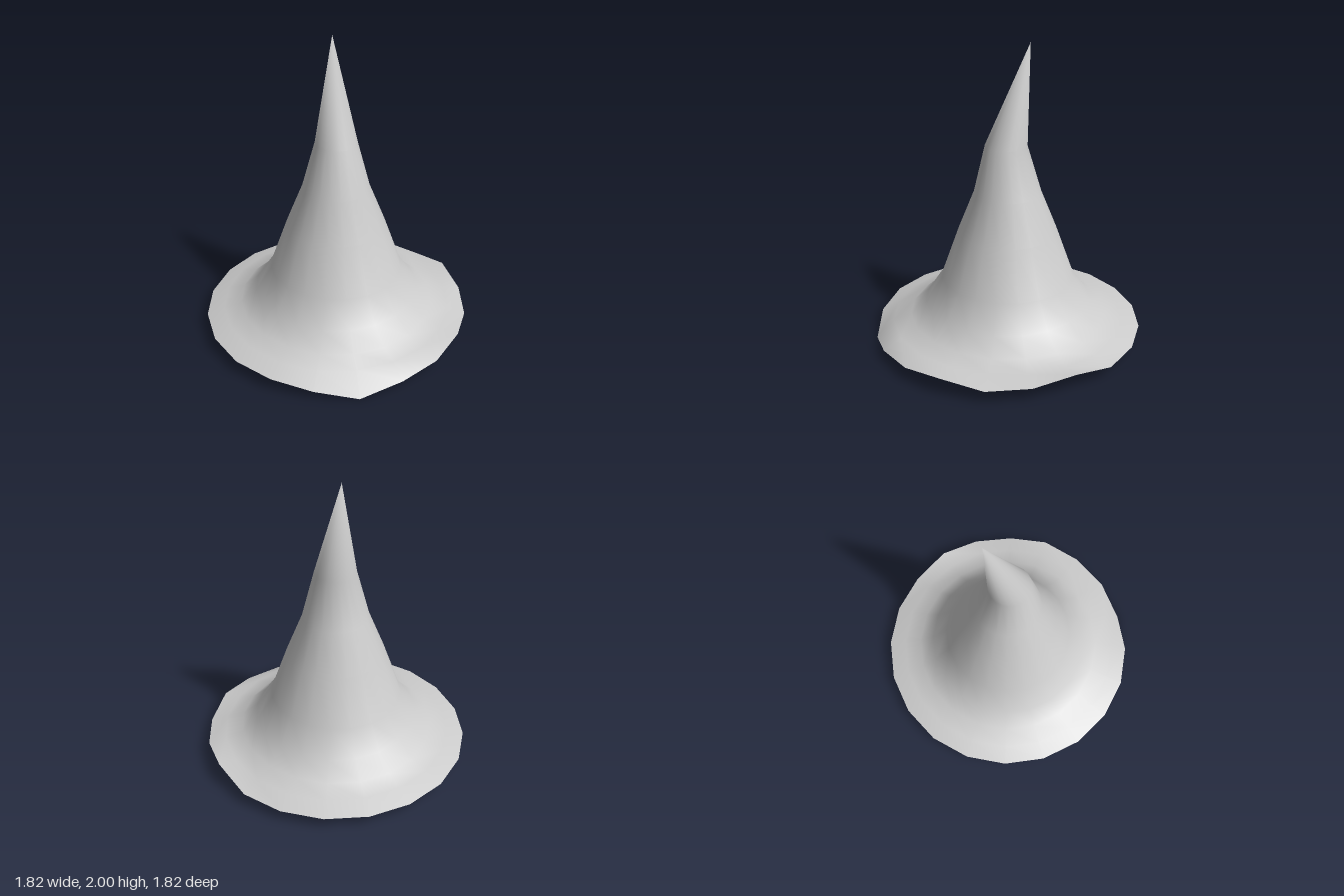
import * as THREE from 'three';
import { mergeVertices } from 'three/addons/utils/BufferGeometryUtils.js';

const SIDES = 20;

// Radius, height and z shift of each ring, from brim edge to tip
const RINGS = [
  [0.91, 0.09, 0], [0.79, 0.13, 0], [0.67, 0.165, 0], [0.563, 0.26, 0], [0.45, 0.43, 0],
  [0.335, 0.75, 0], [0.226, 1.02, 0], [0.14, 1.34, 0.01], [0, 2, -0.145],
];

// Bends of the brim edge, by side number counted from the front towards +x
const EDGE_LIFT = { 0: -0.085, 1: -0.022, 3: 0.033, 5: 0.02, 6: 0.058, 19: -0.025 };

export function createModel() {
  const profile = RINGS.map(([r, y]) => new THREE.Vector2(r, y));
  let geometry = new THREE.LatheGeometry(profile, SIDES);
  const pos = geometry.attributes.position;

  // Lean the tip backwards and bend the brim edge
  for (let i = 0; i < pos.count; i++) {
    const ring = i % RINGS.length;
    const side = Math.floor(i / RINGS.length) % SIDES;
    pos.setZ(i, pos.getZ(i) + RINGS[ring][2]);
    if (ring === 0) pos.setY(i, pos.getY(i) + (EDGE_LIFT[side] ?? 0));
  }

  // Weld the seam so the shading is smooth all round
  geometry.deleteAttribute('uv');
  geometry.deleteAttribute('normal');
  geometry = mergeVertices(geometry, 1e-4);
  geometry.computeVertexNormals();

  const material = new THREE.MeshStandardMaterial({ color: 0xcccccc, side: THREE.DoubleSide });
  const hat = new THREE.Mesh(geometry, material);
  hat.name = 'pointedHat';

  const group = new THREE.Group();
  group.name = 'hat';
  group.add(hat);
  return group;
}
